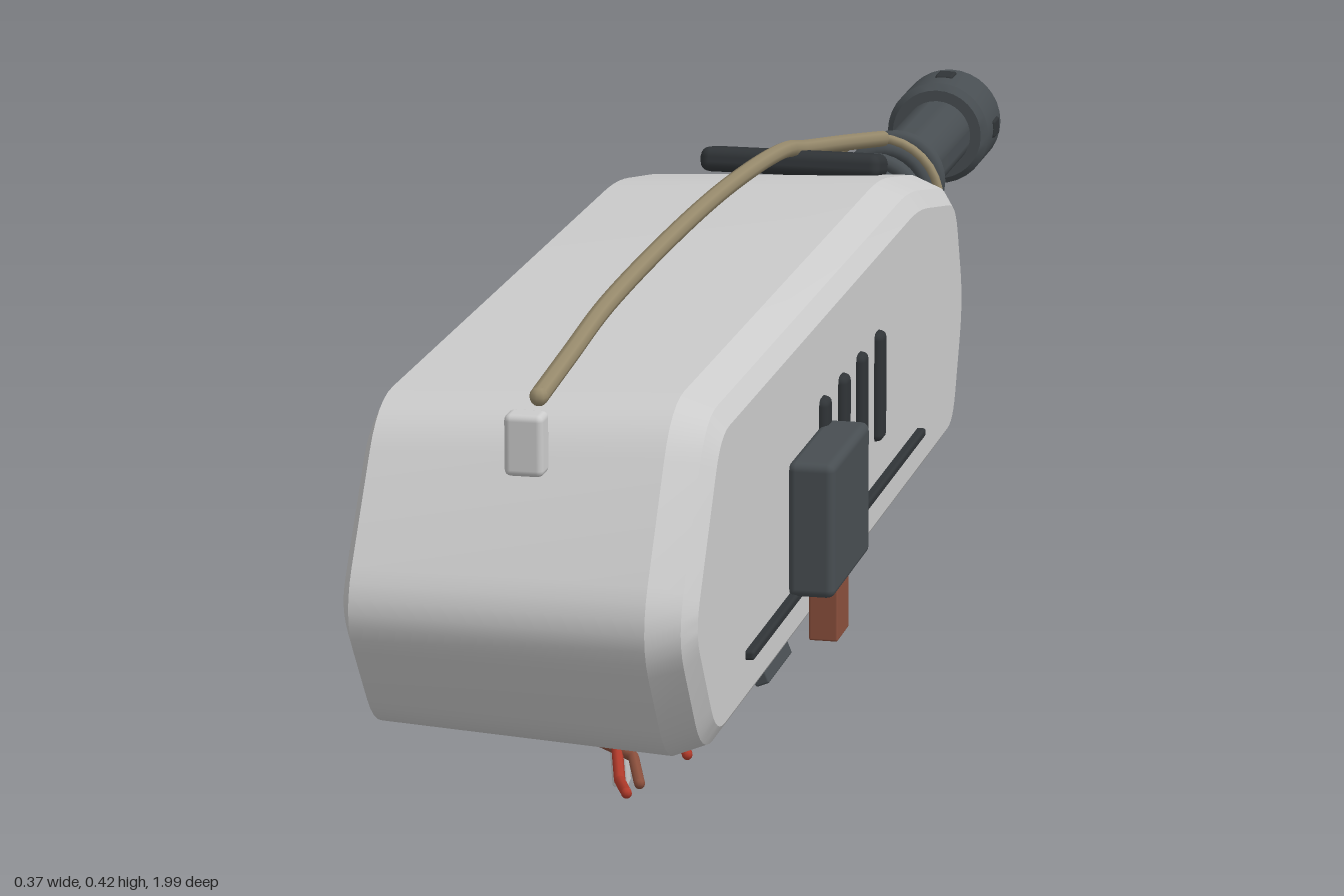
import * as THREE from 'three';
import { toCreasedNormals } from 'three/addons/utils/BufferGeometryUtils.js';
import { RoundedBoxGeometry } from 'three/addons/geometries/RoundedBoxGeometry.js';

const mat = (color) => new THREE.MeshStandardMaterial({ color });
const V = (x, y, z) => new THREE.Vector3(x, y, z);
const AX = -0.02, AY = 0.228; // barrel axis

// Closed outline (z, y) with softened corners
function softOutline(corners, r, steps) {
  const out = [];
  corners.forEach((c, i) => {
    const p = corners[(i + corners.length - 1) % corners.length];
    const n = corners[(i + 1) % corners.length];
    const a = c.clone().add(p.clone().sub(c).setLength(r));
    const b = c.clone().add(n.clone().sub(c).setLength(r));
    out.push(...new THREE.QuadraticBezierCurve(a, c, b).getPoints(steps));
  });
  return out;
}

// Housing: side outline lofted across x, chamfered at both flanks, slightly taller on the left
function housingGeometry() {
  const corners = [[-0.2, 0.068], [0.91, 0.068], [1.008, 0.21], [0.89, 0.387], [0, 0.387], [-0.21, 0.345], [-0.262, 0.21]]
    .map(([z, y]) => new THREE.Vector2(z, y));
  const outline = softOutline(corners, 0.05, 6);
  const n = outline.length;
  const normals = outline.map((_, i) => {
    const t = outline[(i + 1) % n].clone().sub(outline[(i + n - 1) % n]).normalize();
    return new THREE.Vector2(t.y, -t.x);
  });
  const rings = [[-0.175, 0.028], [-0.172, 0.02], [-0.163, 0], [0.1, 0], [0.129, 0.013], [0.14, 0.03]]; // x, inset
  const pos = [], idx = [];
  rings.forEach(([x, inset]) => {
    const k = (x + 0.163) / 0.263;
    outline.forEach((p, i) => {
      const z = p.x - normals[i].x * inset, y = p.y - normals[i].y * inset;
      pos.push(x, AY + (y - AY) * (0.92 + 0.08 * k), 0.37 + (z - 0.37) * (0.985 + 0.015 * k));
    });
  });
  for (let i = 0; i < rings.length - 1; i++) {
    for (let j = 0; j < n; j++) {
      const a = i * n + j, b = i * n + (j + 1) % n, c = b + n, d = a + n;
      idx.push(a, d, c, a, c, b);
    }
  }
  const last = (rings.length - 1) * n;
  for (let j = 1; j < n - 1; j++) idx.push(0, j, j + 1, last, last + j + 1, last + j);
  const g = new THREE.BufferGeometry();
  g.setAttribute('position', new THREE.Float32BufferAttribute(pos, 3));
  g.setIndex(idx);
  return toCreasedNormals(g, 0.35);
}

export function createModel() {
  const model = new THREE.Group();
  const grey = mat(0xcccccc), dark = mat(0x484e52), black = mat(0x303437);
  const tan = mat(0x978a6c), copper = mat(0x8a4f3c), red = mat(0xb03a2a), yellow = mat(0xd8c24a);

  const add = (name, geo, material, x = 0, y = 0, z = 0) => {
    const m = new THREE.Mesh(geo, material);
    m.name = name;
    m.position.set(x, y, z);
    model.add(m);
    return m;
  };
  const box = (name, material, size, at, r = 0.006) =>
    add(name, new RoundedBoxGeometry(...size, 2, r), material, ...at);

  // Straight-segment tube with closed ends
  const wire = (name, material, radius, pts, sides = 8) => {
    const path = new THREE.CurvePath();
    const v = pts.map((p) => V(...p));
    for (let i = 1; i < v.length; i++) path.add(new THREE.LineCurve3(v[i - 1], v[i]));
    add(name, new THREE.TubeGeometry(path, 40, radius, sides, false), material);
    [v[0], v[v.length - 1]].forEach((p) => add(name + 'End', new THREE.SphereGeometry(radius, sides, 6), material, p.x, p.y, p.z));
  };
  // Solid of revolution about the barrel axis; points are [radius, z]
  const turned = (name, material, pts, sides = 32) => {
    const g = new THREE.LatheGeometry(pts.map(([r, z]) => new THREE.Vector2(r, -z)), sides);
    g.rotateX(-Math.PI / 2);
    return add(name, toCreasedNormals(g, 0.5), material, AX, AY, 0);
  };

  add('housing', housingGeometry(), grey);

  // Vents and long trim strip on both flanks
  for (const [side, x] of [['left', 0.14], ['right', -0.175]]) {
    for (const z of [0.205, 0.29, 0.372, 0.457]) box(side + 'Vent', black, [0.016, 0.107, 0.026], [x, 0.232, z], 0.007);
    box(side + 'Strip', black, [0.016, 0.009, 0.78], [x, 0.133, 0.39], 0.003);
  }

  // Barrel, collar, ribs and end cap
  turned('collar', dark, [[0, -0.22], [0.082, -0.22], [0.082, -0.262], [0.074, -0.278], [0.056, -0.29], [0, -0.29]]);
  turned('barrel', dark, [[0.038, -0.25], [0.038, -0.92]]);
  turned('endCap', dark, [[0.038, -0.91], [0.05, -0.91], [0.057, -0.918], [0.057, -0.992], [0.05, -1], [0.018, -1], [0.018, -0.965], [0, -0.965]]);
  for (let i = 0; i < 4; i++) {
    const a = i * Math.PI / 2;
    const slot = box('capNotch', black, [0.008, 0.02, 0.028], [AX + Math.cos(a) * 0.055, AY + Math.sin(a) * 0.055, -0.962], 0.003);
    slot.rotation.z = a;
  }
  for (const z of [-0.455, -0.513, -0.571, -0.628, -0.686]) {
    add('barrelRib', new THREE.TorusGeometry(0.044, 0.0095, 10, 32), dark, AX, AY, z);
  }

  // Cord along the top, tied round the barrel
  const cordPath = new THREE.CatmullRomCurve3([[0.388, 0.89], [0.398, 0.78], [0.41, 0.64], [0.41, 0.2],
    [0.388, -0.1], [0.372, -0.18], [0.334, -0.38], [0.293, -0.59]].map(([y, z]) => V(AX + 0.003, y, z)));
  add('cord', new THREE.TubeGeometry(cordPath, 60, 0.0085, 8), tan);
  for (const t of [0, 1]) {
    const p = cordPath.getPoint(t);
    add('cordEnd', new THREE.SphereGeometry(0.0085, 8, 6), tan, p.x, p.y, p.z);
  }
  add('cordLoop', new THREE.TorusGeometry(0.065, 0.005, 8, 32), tan, AX, AY, -0.592);
  box('cordHook', grey, [0.035, 0.055, 0.026], [AX + 0.002, 0.357, 0.93]);
  box('rearPad', black, [0.185, 0.025, 0.055], [AX, 0.362, -0.16], 0.01).rotation.x = -0.2;

  // Side module with its copper plug
  box('sideModule', dark, [0.044, 0.126, 0.162], [0.16, 0.198, 0.521], 0.008);
  box('plug', copper, [0.027, 0.06, 0.05], [0.161, 0.11, 0.525], 0.002);
  for (const y of [0.092, 0.107, 0.122]) box('plugPin', copper, [0.012, 0.007, 0.035], [0.161, y, 0.487], 0.002);

  // Underside box with splayed side clips and a rear rod
  box('underBox', dark, [0.165, 0.076, 0.215], [-0.0175, 0.038, 0.432], 0.009);
  for (const s of [-1, 1]) {
    const clip = box(s > 0 ? 'leftClip' : 'rightClip', dark, [0.014, 0.06, 0.1], [-0.016 + s * 0.094, 0.04, 0.43], 0.002);
    clip.rotation.z = s * 0.38;
  }
  wire('rearRod', grey, 0.011, [[-0.02, 0.07, 0.34], [-0.02, 0.057, 0.21]], 12);

  // Loose wires below
  wire('redWire', red, 0.005, [[0.052, 0.034, 0.54], [0.04, 0.012, 0.61], [0.066, 0.009, 0.69]]);
  wire('yellowWire', yellow, 0.005, [[-0.017, 0.058, 0.53], [-0.007, 0.016, 0.59], [0.017, 0.012, 0.63]]);
  wire('blackWire', black, 0.006, [[-0.046, 0.058, 0.53], [-0.073, 0.018, 0.58], [-0.055, 0.012, 0.62]]);
  wire('frontRedWire', red, 0.005, [[0.04, 0.07, 0.85], [0.055, 0.05, 0.9], [0.073, 0.056, 0.95]]);
  wire('frontCopperWire', copper, 0.005, [[0.02, 0.066, 0.84], [0.06, 0.063, 0.87], [0.075, 0.052, 0.91]]);
  box('frontTab', grey, [0.014, 0.05, 0.015], [0.037, 0.045, 0.825], 0.002).rotation.x = 0.25;

  return model;
}
